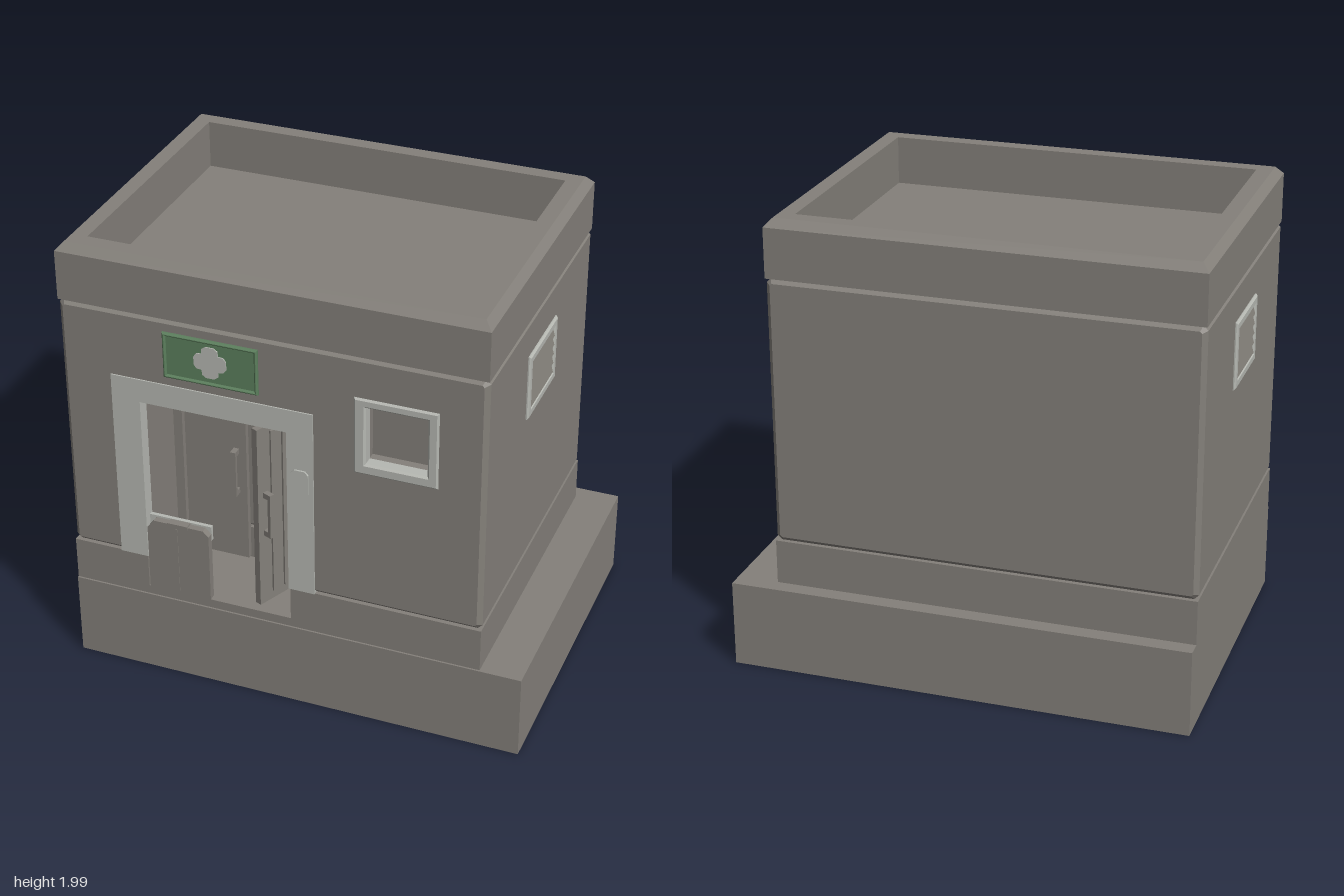
import * as THREE from 'three';

const wallMat = new THREE.MeshStandardMaterial({ name: 'wall grey', color: 0x84807a });
const trimMat = new THREE.MeshStandardMaterial({ name: 'light trim', color: 0xb6b8b2 });
const greenMat = new THREE.MeshStandardMaterial({ name: 'sign green', color: 0x5c7f5d });

const FRONT = 0.712, BACK = -0.66, LEFT = -1, RIGHT = 0.82;

function add(parent, name, geo, mat) {
  const mesh = new THREE.Mesh(geo, mat);
  mesh.name = name;
  parent.add(mesh);
  return mesh;
}

// box given by its limits on each axis
function block(parent, name, mat, x0, x1, y0, y1, z0, z1) {
  const mesh = add(parent, name, new THREE.BoxGeometry(x1 - x0, y1 - y0, z1 - z0), mat);
  mesh.position.set((x0 + x1) / 2, (y0 + y1) / 2, (z0 + z1) / 2);
  return mesh;
}

const points = (list) => list.map(([x, y]) => new THREE.Vector2(x, y));
const rect = (x0, x1, y0, y1) => points([[x0, y0], [x1, y0], [x1, y1], [x0, y1]]);

// flat outline with holes, extruded from z0 to z1 with an optional chamfer
function plate(outline, holes, z0, z1, bevel = 0) {
  const shape = new THREE.Shape(outline);
  holes.forEach((h) => shape.holes.push(new THREE.Path(h.slice().reverse())));
  const geo = new THREE.ExtrudeGeometry(shape, {
    depth: z1 - z0 - 2 * bevel, bevelEnabled: bevel > 0, bevelSegments: 1,
    bevelSize: bevel, bevelThickness: bevel, bevelOffset: -bevel,
  });
  return geo.translate(0, 0, z0 + bevel);
}

// parapet and sunken roof: rectangular rings [inset, height] joined in order
function roofGeometry(rings) {
  const loops = rings.map(([d, y]) => [
    [LEFT + d, y, FRONT - d], [RIGHT - d, y, FRONT - d],
    [RIGHT - d, y, BACK + d], [LEFT + d, y, BACK + d],
  ]);
  const pos = [];
  const quad = (a, b, c, d) => pos.push(...a, ...b, ...c, ...a, ...c, ...d);
  for (let i = 0; i + 1 < loops.length; i++) {
    for (let j = 0; j < 4; j++) {
      const k = (j + 1) % 4;
      quad(loops[i][j], loops[i][k], loops[i + 1][k], loops[i + 1][j]);
    }
  }
  quad(...loops[loops.length - 1]);
  const geo = new THREE.BufferGeometry();
  geo.setAttribute('position', new THREE.Float32BufferAttribute(pos, 3));
  geo.computeVertexNormals();
  return geo;
}

function handle(parent, x, y0, y1, z) {
  block(parent, 'doorHandle', wallMat, x - 0.012, x + 0.012, y0, y1, z + 0.025, z + 0.04);
  for (const y of [y0, y1 - 0.025]) {
    block(parent, 'handleMount', wallMat, x - 0.012, x + 0.012, y, y + 0.025, z, z + 0.026);
  }
}

// louvred vent, built facing +z around its centre
function vent() {
  const g = new THREE.Group();
  g.name = 'vent';
  add(g, 'ventFrame', plate(rect(-0.185, 0.185, -0.145, 0.145),
    [rect(-0.15, 0.15, -0.107, 0.107)], -0.01, 0.012, 0.007), trimMat);
  for (let i = 0; i < 5; i++) {
    const slat = add(g, 'ventSlat', new THREE.BoxGeometry(0.3, 0.036, 0.006), wallMat);
    slat.position.set(0, -0.086 + i * 0.043, 0.003);
    slat.rotation.x = -0.3;
  }
  return g;
}

export function createModel() {
  const model = new THREE.Group();
  model.name = 'building';

  // foundation and lower strip, with a gap for the doorway
  block(model, 'foundation', wallMat, -1, 1, 0, 0.38, -0.73, 0.72);
  block(model, 'plinthBack', wallMat, LEFT, RIGHT, 0.38, 0.575, BACK, 0.36);
  block(model, 'plinthLeft', wallMat, LEFT, -0.66, 0.38, 0.575, 0.36, FRONT);
  block(model, 'plinthRight', wallMat, -0.01, RIGHT, 0.38, 0.575, 0.36, FRONT);
  block(model, 'doorSill', wallMat, -0.66, -0.01, 0.38, 0.42, 0.36, FRONT);

  // chamfered walls: a solid rear part and a front part with openings
  const c = 0.02, y0 = 0.575, y1 = 1.74;
  const upper = [[RIGHT - c, y0], [RIGHT, y0 + c], [RIGHT, y1 - c], [RIGHT - c, y1],
    [LEFT + c, y1], [LEFT, y1 - c], [LEFT, y0 + c], [LEFT + c, y0]];
  add(model, 'rearWalls', plate(points(upper), [], BACK, 0.36, c), wallMat);
  const doorway = [[-0.66, y0], [-0.66, 1.34], [-0.01, 1.34], [-0.01, y0]];
  add(model, 'frontWall', plate(points([...upper, ...doorway]),
    [rect(0.32, 0.58, 1.26, 1.52)], 0.3, FRONT, c), wallMat);

  // parapet and roof
  add(model, 'parapetAndRoof', roofGeometry(
    [[0.1, 1.74], [0, 1.74], [0, 1.955], [0.032, 1.99], [0.1, 1.99], [0.1, 1.78]]), wallMat);

  // window
  add(model, 'windowFrame', plate(rect(0.272, 0.625, 1.213, 1.56),
    [rect(0.322, 0.58, 1.262, 1.52)], 0.66, FRONT + 0.008, 0.008), trimMat);
  block(model, 'windowPane', wallMat, 0.3, 0.6, 1.24, 1.54, 0.6, 0.63);

  // door surround
  add(model, 'doorSurround', plate(points([[-0.78, y0], [-0.655, y0], [-0.655, 1.335],
    [-0.015, 1.335], [-0.015, y0], [0.1, y0], [0.1, 1.44], [-0.78, 1.44]]),
  [], 0.66, FRONT + 0.006), trimMat);
  add(model, 'innerDoorFrame', plate(points([[-0.66, 0.42], [-0.62, 0.42], [-0.62, 1.29],
    [-0.03, 1.29], [-0.03, 0.42], [-0.01, 0.42], [-0.01, 1.34], [-0.66, 1.34]]),
  [], 0.35, 0.41), wallMat);

  // closed leaf
  block(model, 'closedDoor', wallMat, -0.62, -0.34, 0.43, 1.29, 0.35, 0.385);
  handle(model, -0.385, 0.76, 0.98, 0.385);

  // open leaf, hinged on the right
  const leaf = new THREE.Group();
  leaf.name = 'openDoor';
  leaf.position.set(-0.03, 0, 0.39);
  leaf.rotation.y = 1.16;
  block(leaf, 'doorLeaf', wallMat, -0.32, 0, 0.43, 1.29, -0.03, 0);
  for (let i = 0; i < 4; i++) {
    const x = -0.25 + i * 0.065;
    block(leaf, 'doorRib', wallMat, x, x + 0.03, 0.47, 1.26, 0, 0.008);
  }
  handle(leaf, -0.28, 0.77, 0.98, 0);
  for (const y of [0.56, 0.85, 1.14]) {
    block(leaf, 'hinge', wallMat, -0.03, 0.005, y, y + 0.08, -0.02, 0.015);
  }
  model.add(leaf);

  // half-height front panel with a light ledge
  add(model, 'halfPanel', plate(points([[-0.655, 0.42], [-0.375, 0.42], [-0.375, 0.735],
    [-0.4, 0.76], [-0.625, 0.76], [-0.655, 0.72]]), [], 0.68, FRONT), wallMat);
  block(model, 'panelLedge', trimMat, -0.655, -0.375, 0.7, 0.768, 0.665, 0.682);
  block(model, 'panelLatch', wallMat, -0.56, -0.47, 0.75, 0.766, 0.675, FRONT + 0.004);
  block(model, 'panelSeam', wallMat, -0.524, -0.516, 0.43, 0.74, 0.7, FRONT + 0.003);

  // wall sign with a rounded cross
  add(model, 'signBoard', plate(rect(-0.54, -0.13, 1.48, 1.685), [], 0.7, FRONT + 0.005), greenMat);
  add(model, 'signBorder', plate(rect(-0.54, -0.13, 1.48, 1.685),
    [rect(-0.525, -0.145, 1.495, 1.67)], 0.7, FRONT + 0.014, 0.006), greenMat);
  const cross = [];
  for (let i = 0; i < 4; i++) {
    const arm = points([[0.036, -0.036], [0.058, -0.034], [0.07, -0.018],
      [0.07, 0.018], [0.058, 0.034]]);
    arm.forEach((p) => cross.push(p.rotateAround(new THREE.Vector2(), i * Math.PI / 2)));
  }
  add(model, 'signCross', plate(cross, [], 0, 0.006), trimMat)
    .position.set(-0.335, 1.585, FRONT + 0.004);

  // small box beside the door
  add(model, 'entryBox', plate(points([[0.005, 1.065], [0.08, 1.065], [0.08, 1.155],
    [0.065, 1.17], [0.02, 1.17], [0.005, 1.155]]), [], 0.7, 0.726), trimMat);

  // vents on both side walls
  for (const side of [-1, 1]) {
    const v = vent();
    v.position.set(side > 0 ? RIGHT : LEFT, 1.435, 0.027);
    v.rotation.y = side * Math.PI / 2;
    model.add(v);
  }
  return model;
}
